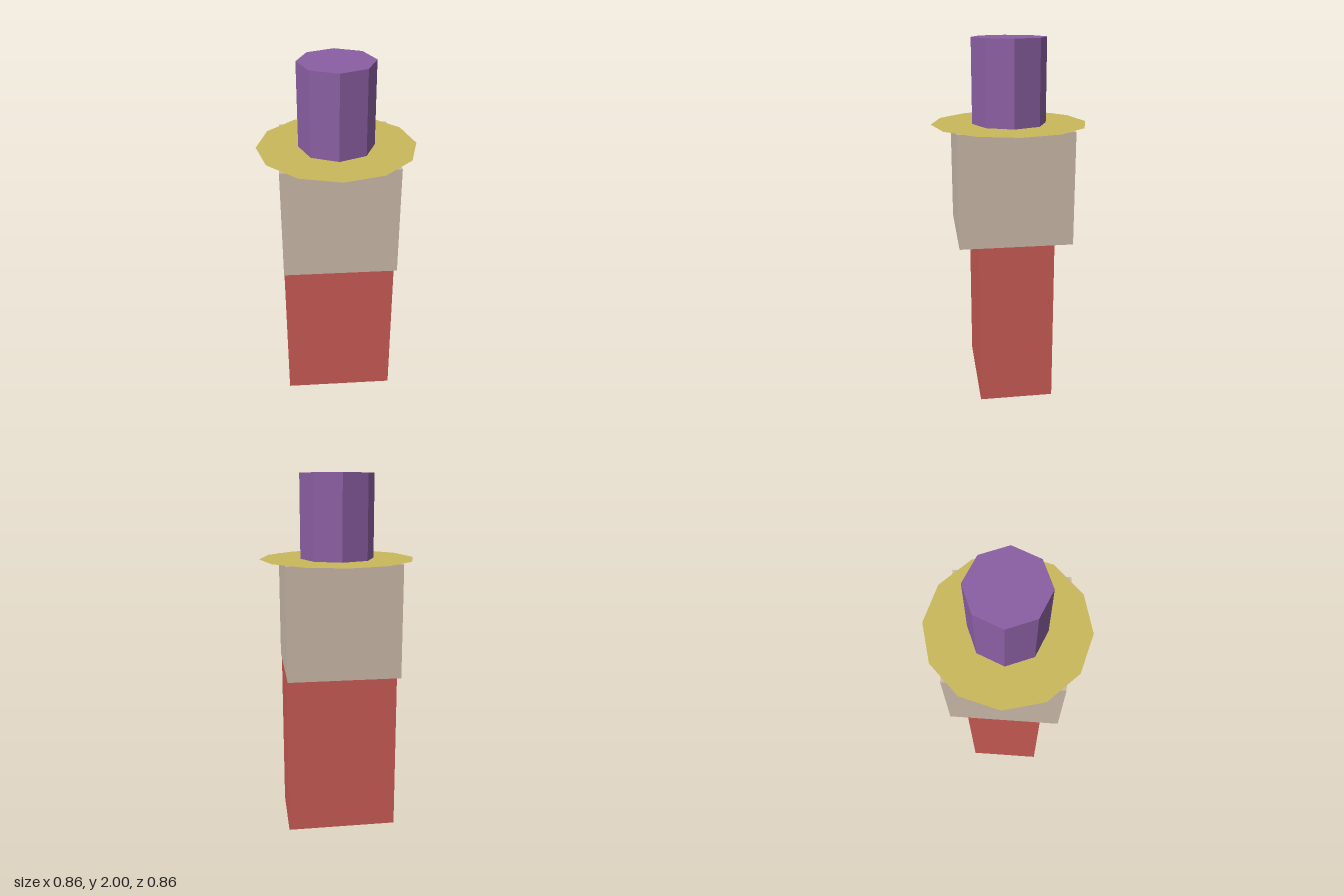
import * as THREE from 'three';

export function createModel() {
  const group = new THREE.Group();
  const material = (name, color, extra = {}) => {
    const m = new THREE.MeshStandardMaterial({ color, ...extra });
    m.name = name;
    return m;
  };
  const add = (name, geometry, mat, y) => {
    const mesh = new THREE.Mesh(geometry, mat);
    mesh.name = name;
    mesh.position.y = y;
    group.add(mesh);
    return mesh;
  };

  const bodyTop = 0.923, headTop = 1.538, hatTop = 2;
  const headSize = headTop - bodyTop;
  const hatHeight = hatTop - headTop;

  // Body: flat-sided block, shallower than it is wide
  add('body', new THREE.BoxGeometry(headSize, bodyTop, 0.41),
    material('red', 0xc85a54), bodyTop / 2);

  // Head: cube
  add('head', new THREE.BoxGeometry(headSize, headSize, headSize),
    material('tan', 0xc9b8a8), bodyTop + headSize / 2);

  // Hat brim: paper-thin twelve-sided disc, just above the head
  const brim = add('hatBrim', new THREE.CircleGeometry(0.43, 12),
    material('straw yellow', 0xc9b85c, { side: THREE.DoubleSide }), headTop + 0.002);
  brim.rotation.x = -Math.PI / 2;

  // Hat crown: eight-sided column
  add('hatCrown', new THREE.CylinderGeometry(0.205, 0.205, hatHeight, 8),
    material('purple', 0x8b5fa3, { flatShading: true }), headTop + hatHeight / 2);

  return group;
}
